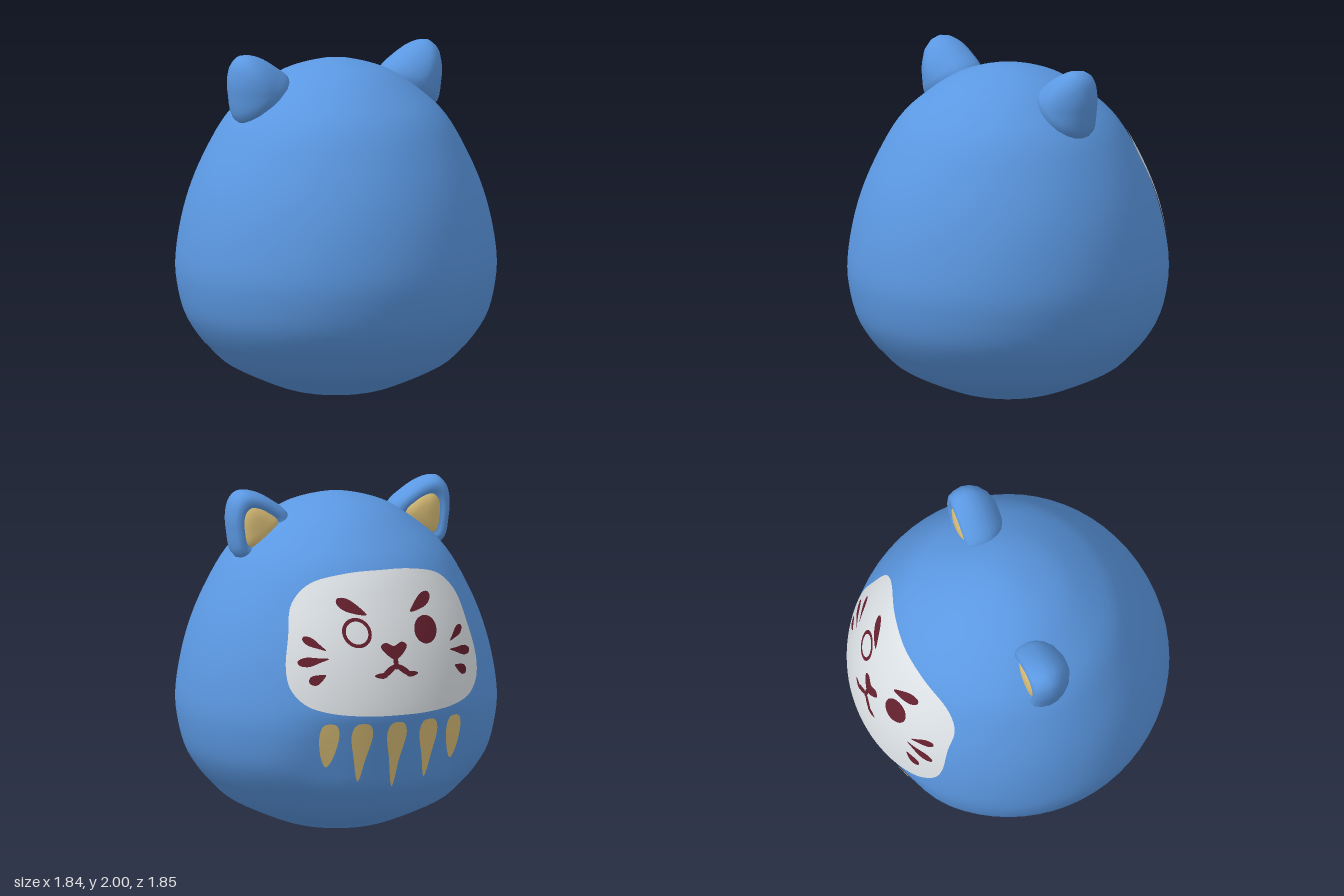
import * as THREE from 'three';
import { mergeVertices } from 'three/addons/utils/BufferGeometryUtils.js';

const paint = (name, color) => Object.assign(new THREE.MeshStandardMaterial({ color }), { name });

// Egg profile, as radius and height
const profile = new THREE.SplineCurve([
  [0, 0.003], [0.15, 0.01], [0.33, 0.05], [0.61, 0.175], [0.73, 0.28], [0.8, 0.36], [0.87, 0.48],
  [0.91, 0.64], [0.92, 0.79], [0.89, 1], [0.835, 1.2], [0.75, 1.4], [0.635, 1.6], [0.5, 1.735],
  [0.31, 1.865], [0.1, 1.93], [0, 1.935],
].map(([r, y]) => new THREE.Vector2(r, y)));
const table = profile.getPoints(300);

function radiusAt(y) {
  const i = Math.max(1, table.findIndex((p) => p.y >= y));
  const a = table[i - 1], b = table[i];
  return THREE.MathUtils.mapLinear(y, a.y, b.y, a.x, b.x);
}

// Depth of the face side; the belly below the face is pressed flat
function faceZ(x, y, r = radiusAt(y)) {
  const straight = THREE.MathUtils.mapLinear(y, 0.34, 0.81, 0.8, 0.92);
  const press = y > 0.34 && y < 0.81 ? Math.max(0, r - straight) : 0;
  const fade = 1 - THREE.MathUtils.smoothstep(Math.abs(x), 0.35, 0.65);
  return -Math.sqrt(Math.max(0, r * r - x * x)) + press * fade;
}

// Skin over concentric rings of an outline; place(x, y, ring) gives each corner
function ringSkin(outline, scales, place, center) {
  const pts = THREE.ShapeUtils.area(outline) > 0 ? [...outline].reverse() : outline;
  const n = pts.length, pos = [], idx = [];
  const c = center ?? pts.reduce((s, p) => s.add(p), new THREE.Vector2()).divideScalar(n);
  scales.forEach((s, k) => pts.forEach((p, j) => {
    pos.push(...place(c.x + (p.x - c.x) * s, c.y + (p.y - c.y) * s, k));
    if (k === scales.length - 1) return;
    const a = k * n + j, b = k * n + (j + 1) % n;
    idx.push(a, a + n, b + n, a, b + n, b);
  }));
  const geo = new THREE.BufferGeometry();
  geo.setAttribute('position', new THREE.Float32BufferAttribute(pos, 3));
  geo.setIndex(idx);
  const welded = mergeVertices(geo);
  welded.computeVertexNormals();
  return welded;
}

// Smooth closed outline through a few points
const loop = (pts, n = 48) => new THREE.CatmullRomCurve3(
  pts.map(([x, y]) => new THREE.Vector3(x, y, 0)), true,
).getPoints(n).slice(0, n).map((p) => new THREE.Vector2(p.x, p.y));

const mirrored = (half) => [...half, ...half.slice(1, -1).reverse().map(([x, y]) => [-x, y])];

// Teardrop from a thin end to a fat end
function drop(x0, y0, x1, y1, thin, fat) {
  const d = new THREE.Vector2(x1 - x0, y1 - y0);
  const len = d.length();
  d.divideScalar(len);
  return loop([[0, 0], [0.3, thin], [0.75, fat], [1, fat * 0.4], [1, -fat * 0.4], [0.75, -fat], [0.3, -thin]]
    .map(([t, w]) => [x0 + d.x * t * len - d.y * w, y0 + d.y * t * len + d.x * w]), 28);
}

export function createModel() {
  const blue = paint('blue coat', 0x5b98e2);
  const white = paint('pale face', 0xe2e7eb);
  const maroon = paint('maroon marking', 0x65202e);
  const gold = paint('gold', 0xdec27a);

  const model = new THREE.Group();
  model.name = 'roundCatFigure';
  const add = (name, geo, mat) => {
    const mesh = new THREE.Mesh(geo, mat);
    mesh.name = name;
    model.add(mesh);
  };

  // Body
  const rows = profile.getSpacedPoints(56);
  rows[0].x = rows[56].x = 0;
  let body = new THREE.LatheGeometry(rows, 64);
  body.deleteAttribute('uv');
  body.deleteAttribute('normal');
  const p = body.attributes.position;
  for (let i = 0; i < p.count; i++) {
    if (p.getZ(i) < -1e-6) {
      p.setZ(i, faceZ(p.getX(i), p.getY(i), Math.hypot(p.getX(i), p.getZ(i))));
    }
  }
  body = mergeVertices(body);
  body.computeVertexNormals();
  add('body', body, blue);

  // Painted patches that follow the body
  function patch(name, outline, mat, lift, inner = 0, rings = 3) {
    const scales = Array.from({ length: rings + 1 }, (_, k) => inner + (1 - inner) * k / rings);
    add(name, ringSkin(outline, scales, (x, y) => [x, y, faceZ(x, y) - lift]), mat);
  }
  const face = mirrored([[0, 1.6], [0.2, 1.59], [0.4, 1.535], [0.51, 1.42], [0.555, 1.25], [0.59, 1.06],
    [0.575, 0.95], [0.51, 0.87], [0.4, 0.83], [0.2, 0.808], [0, 0.805]]);
  patch('facePatch', loop(face, 96), white, 0.008, 0, 16);
  const mark = (name, outline, inner) => patch(name, outline, maroon, 0.014, inner);

  // Eyes: one open ring, one filled
  const circle = (x, y, r) => new THREE.EllipseCurve(x, y, r, r).getPoints(40).slice(0, 40);
  mark('openEye', circle(0.205, 1.275, 0.082), 0.76);
  mark('filledEye', circle(-0.22, 1.265, 0.077));

  // Nose and mouth
  mark('nose', loop(mirrored([[0, 1.195], [0.05, 1.215], [0.08, 1.195], [0.055, 1.155], [0, 1.12]])));
  mark('mouthStem', drop(0, 1.16, 0, 1.065, 0.013, 0.013));

  for (const s of [1, -1]) {
    mark('mouthCurve', drop(s * -0.005, 1.095, s * 0.085, 1.03, 0.015, 0.016));
    mark('mouthCorner', drop(s * 0.135, 1.035, s * 0.06, 1.033, 0.012, 0.015));
    mark('brow', drop(s * 0.135, 1.37, s * 0.285, 1.45, 0.022, 0.034));
    mark('upperWhisker', drop(s * 0.385, 1.18, s * 0.49, 1.245, 0.012, 0.024));
    mark('middleWhisker', drop(s * 0.375, 1.135, s * 0.53, 1.105, 0.012, 0.026));
    mark('lowerWhisker', drop(s * 0.4, 1.045, s * 0.483, 0.998, 0.016, 0.027));
  }

  // Gold belly stripes: centre x, bottom y, half width
  for (const [x, low, w] of [[0, 0.37, 0.06], [0.205, 0.41, 0.06], [0.385, 0.5, 0.052]]) {
    for (const s of x ? [1, -1] : [1]) {
      const stripe = loop([[x - w * 0.6, 0.755], [x + w * 0.6, 0.755], [x + w, 0.7], [x + w * 0.6, 0.55],
        [x, low], [x - w * 0.5, 0.54], [x - w, 0.7]].map(([a, b]) => [s * a, b]));
      patch('bellyStripe', stripe, gold, 0.006, 0, 5);
    }
  }

  // Ears: flat towards the face, domed behind, with a gold pad
  const earLoop = [[0.315, 1.84], [0.42, 1.935], [0.53, 1.99], [0.61, 1.998], [0.662, 1.955], [0.685, 1.87],
    [0.68, 1.77], [0.64, 1.62], [0.5, 1.59], [0.36, 1.68]];
  const shell = [[0, -0.09], [0.56, -0.09], [0.64, -0.108], [0.76, -0.112], [0.88, -0.098], [0.96, -0.065],
    [1, -0.015], [0.96, 0.03], [0.84, 0.075], [0.62, 0.118], [0.32, 0.145], [0, 0.152]];
  const pad = [[0, -0.115], [0.3, -0.112], [0.5, -0.104], [0.61, -0.085]];
  for (const s of [1, -1]) {
    const outline = loop(earLoop.map(([x, y]) => [s * x, y]));
    const center = new THREE.Vector2(s * 0.505, 1.775);
    const build = (levels) => ringSkin(outline, levels.map((l) => l[0]), (x, y, k) => [x, y, levels[k][1]], center);
    const side = s > 0 ? 'left' : 'right';
    add(side + 'Ear', build(shell), blue);
    add(side + 'InnerEar', build(pad), gold);
  }
  return model;
}
